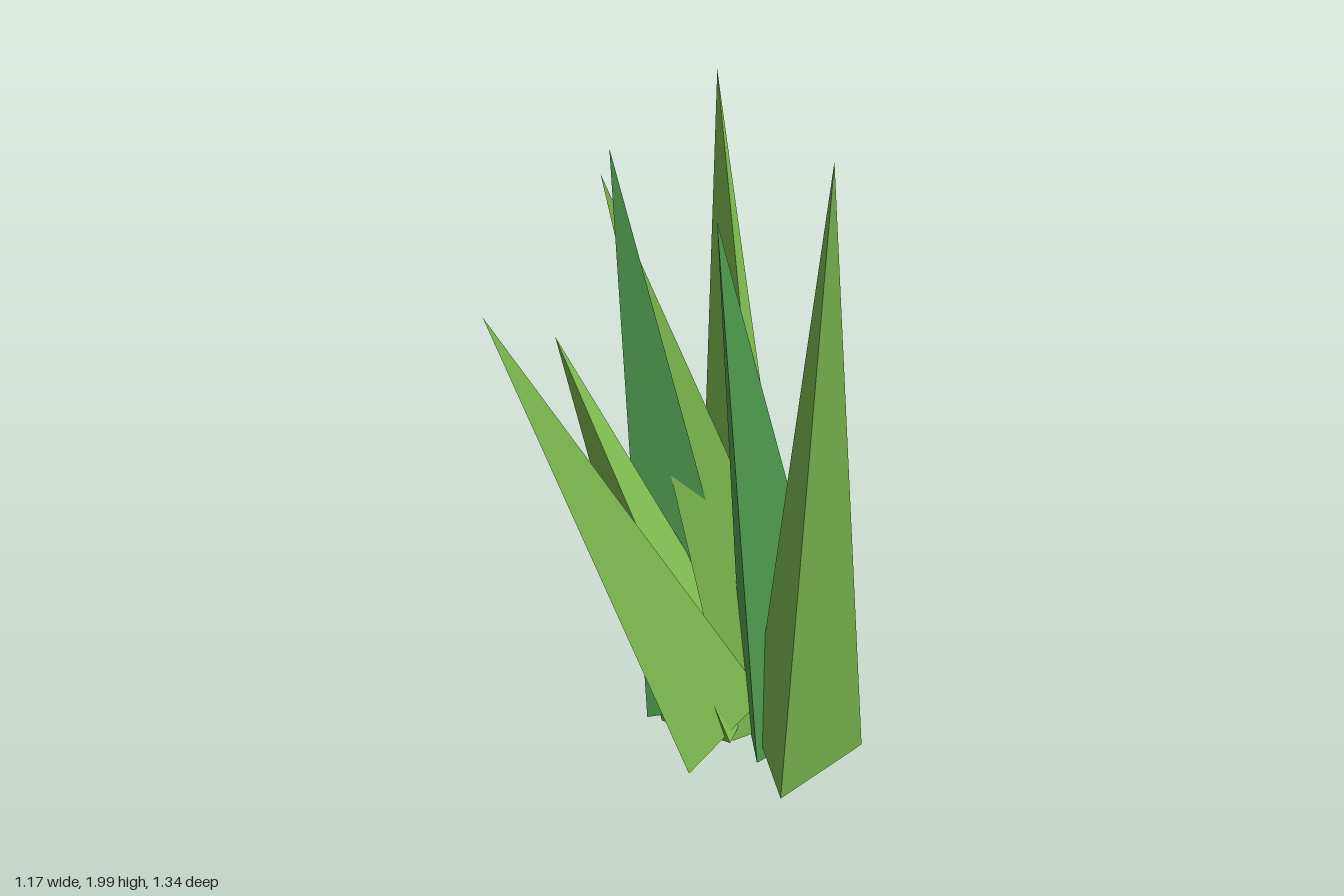
import * as THREE from 'three';

const leafGreen = new THREE.MeshStandardMaterial({ name: 'leafGreen', color: 0x7dbb50, flatShading: true });
const deepGreen = new THREE.MeshStandardMaterial({ name: 'deepGreen', color: 0x53a353, flatShading: true });

// Three-sided spike from the centre of its base to its tip; one base corner sets the width and twist.
function blade(name, material, tip, base, corner) {
  const foot = new THREE.Vector3(...base);
  const axis = new THREE.Vector3(...tip).sub(foot);
  const height = axis.length();
  axis.normalize();
  const out = new THREE.Vector3(...corner).sub(foot);
  out.addScaledVector(axis, -out.dot(axis));
  const radius = out.length();
  out.normalize();
  const side = new THREE.Vector3().crossVectors(axis, out);

  const geometry = new THREE.ConeGeometry(radius, height, 3);
  geometry.translate(0, height / 2, 0);
  const mesh = new THREE.Mesh(geometry, material);
  mesh.name = name;
  mesh.quaternion.setFromRotationMatrix(new THREE.Matrix4().makeBasis(side, axis, out));
  mesh.position.copy(foot);
  return mesh;
}

export function createModel() {
  const tuft = new THREE.Group();
  tuft.name = 'grassTuft';
  tuft.add(
    // Tall blades leaning outward at the front and back
    blade('frontBlade', leafGreen, [-0.06, 2.0, 0.67], [0.15, 0.075, 0.318], [0, 0.04, 0.43]),
    blade('backLeftBlade', leafGreen, [0.575, 1.81, -0.67], [0.398, 0.073, -0.21], [0.34, 0.13, -0.04]),
    // Darker blades near the middle
    blade('backInnerBlade', deepGreen, [-0.01, 1.75, -0.38], [0.13, 0.07, -0.12], [0.245, 0.05, -0.28]),
    blade('frontInnerBlade', deepGreen, [-0.06, 1.71, 0.195], [0.23, 0.07, 0.14], [0.4, 0.1, 0.24]),
    // Blades leaning back and to the right
    blade('backBlade', leafGreen, [0.045, 1.63, -0.51], [0.25, 0.07, 0.1], [0.33, 0.02, -0.07]),
    blade('rightBlade', leafGreen, [-0.585, 1.46, -0.13], [0.013, 0.083, 0.05], [-0.13, 0.03, 0.17]),
    blade('backRightBlade', leafGreen, [-0.268, 1.28, -0.278], [0.1, 0.07, -0.005], [0, 0.005, -0.155])
  );
  return tuft;
}
